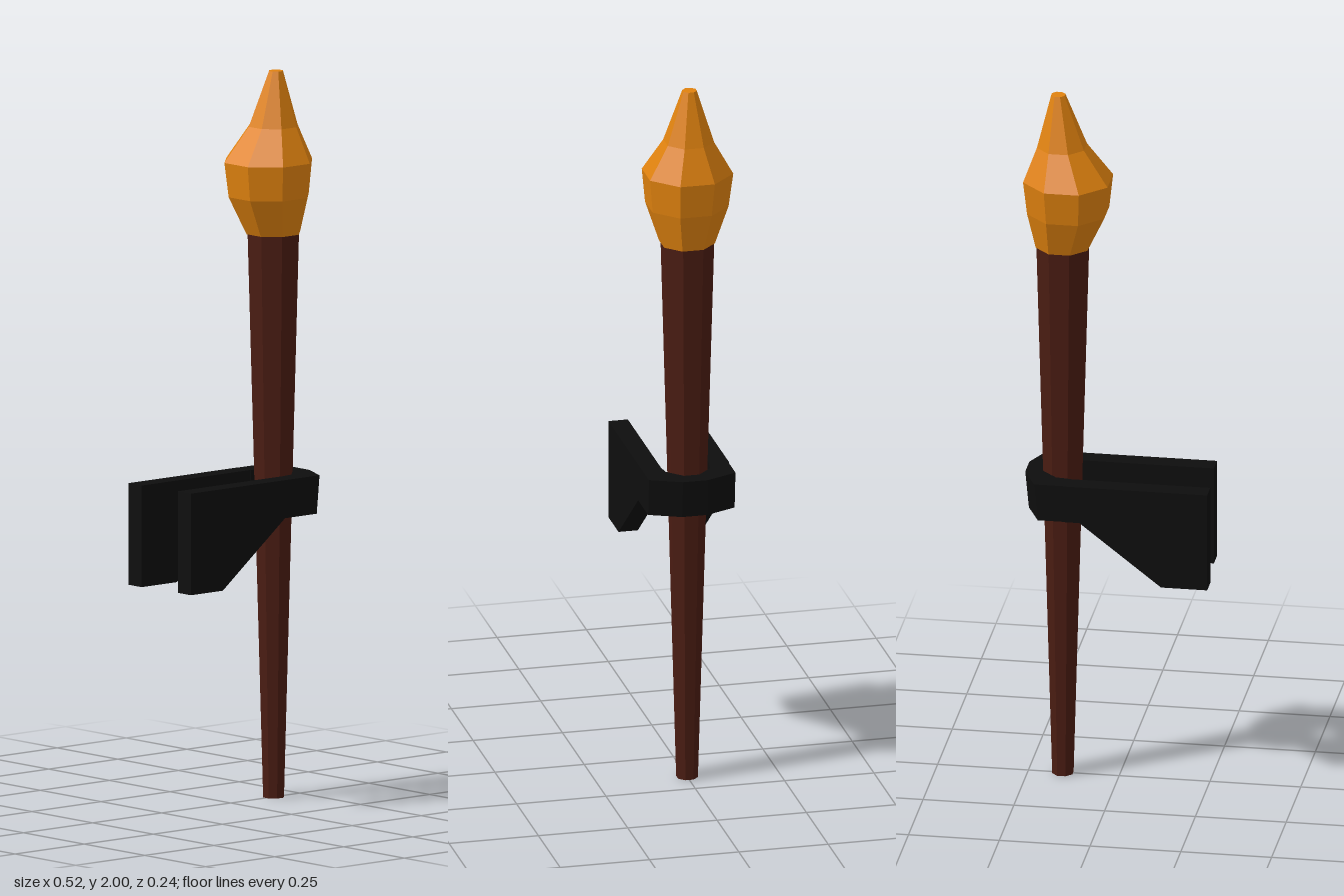
import * as THREE from 'three';

const mat = (color) => new THREE.MeshStandardMaterial({ color, flatShading: true });

function part(name, geometry, material) {
  const mesh = new THREE.Mesh(geometry, material);
  mesh.name = name;
  return mesh;
}

// Octagonal column through rings of [y, radius, centre x, centre z], bottom to top
function octagonLoft(rings) {
  const n = rings.length - 1;
  const g = new THREE.CylinderGeometry(1, 1, 1, 8, n, false, Math.PI / 8);
  const p = g.attributes.position;
  for (let i = 0; i < p.count; i++) {
    const [y, r, cx, cz] = rings[Math.round((p.getY(i) + 0.5) * n)];
    p.setXYZ(i, cx + p.getX(i) * r, y, cz + p.getZ(i) * r);
  }
  g.computeVertexNormals();
  return g;
}

const polygon = (pts) => new THREE.Shape(pts.map(([x, y]) => new THREE.Vector2(x, y)));

export function createModel() {
  const model = new THREE.Group();
  model.name = 'wallTorch';
  const wood = mat(0x4a1c12), fire = mat(0xe0820f), iron = mat(0x0e0e0e);

  // Tapered handle
  model.add(part('handle', octagonLoft([
    [0, 0.03, 0.155, 0],
    [1.56, 0.074, 0.155, -0.001],
  ]), wood));

  // Flame, slightly bent
  model.add(part('flame', octagonLoft([
    [1.555, 0.077, 0.154, 0],
    [1.66, 0.115, 0.14, -0.003],
    [1.755, 0.126, 0.14, -0.005],
    [1.85, 0.07, 0.157, -0.004],
    [2, 0.02, 0.167, -0.004],
  ]), fire));

  const bracket = new THREE.Group();
  bracket.name = 'bracket';
  model.add(bracket);

  // Two arms with a deep foot at the wall end
  for (const [name, end, z] of [['frontArm', -0.25, 0.067], ['backArm', -0.262, -0.123]]) {
    const g = new THREE.ExtrudeGeometry(polygon([
      [end, 0.615], [-0.135, 0.615], [0.09, 0.79], [0.13, 0.79], [0.13, 0.895], [end, 0.895],
    ]), { depth: 0.054, bevelEnabled: false });
    g.translate(0, 0, z);
    bracket.add(part(name, g, iron));
  }

  // Faceted collar joining the arms around the handle
  const half = [[0.13, 0.067], [0.165, 0.062], [0.2, 0.025]];
  const outer = [[0.253, 0.035], [0.215, 0.121], [0.13, 0.121]];
  const flip = (pts) => pts.map(([x, z]) => [x, -z]).reverse();
  const collar = new THREE.ExtrudeGeometry(
    polygon([...half, ...flip(half), ...flip(outer), ...outer]),
    { depth: 0.105, bevelEnabled: false });
  collar.rotateX(Math.PI / 2).translate(0, 0.895, 0);
  // Outer end leans in towards the bottom
  const p = collar.attributes.position;
  for (let i = 0; i < p.count; i++) {
    if (p.getX(i) > 0.21 && p.getY(i) < 0.84) p.setX(i, p.getX(i) - 0.01);
  }
  collar.computeVertexNormals();
  bracket.add(part('collar', collar, iron));

  return model;
}
